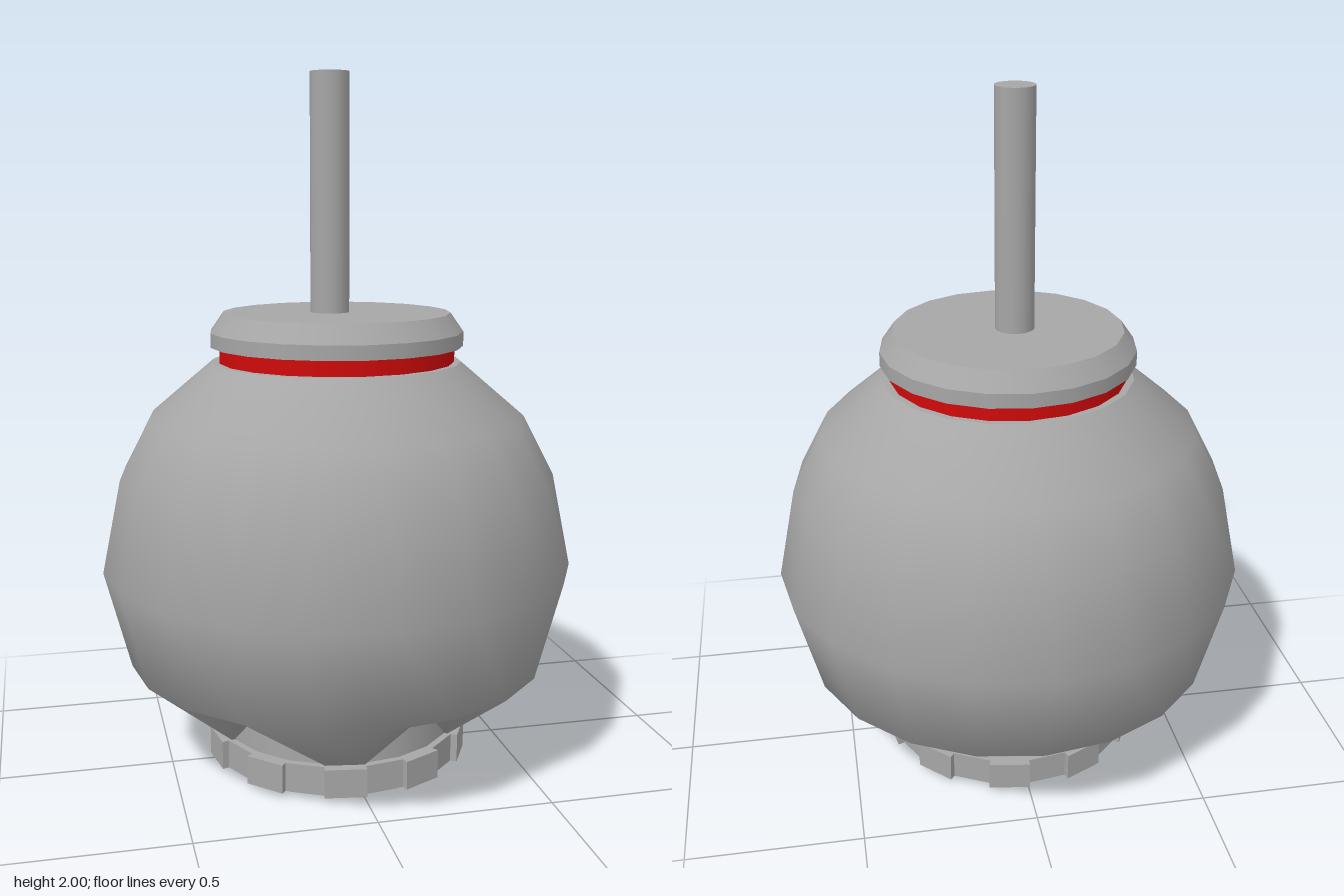
import * as THREE from 'three';
import { mergeVertices } from 'three/addons/utils/BufferGeometryUtils.js';

const SIDES = 20;

export function createModel() {
  const model = new THREE.Group();
  const grey = new THREE.MeshStandardMaterial({ name: 'grey metal', color: 0xa6a6a6, side: THREE.DoubleSide });
  const red = new THREE.MeshStandardMaterial({ name: 'red band', color: 0xd00a0a });

  function add(name, geometry, material, x = 0, y = 0, z = 0) {
    const mesh = new THREE.Mesh(geometry, material);
    mesh.name = name;
    mesh.position.set(x, y, z);
    model.add(mesh);
    return mesh;
  }

  function cylinder(name, rTop, rBottom, y0, y1, material, x = 0, z = 0, open = false) {
    const g = new THREE.CylinderGeometry(rTop, rBottom, y1 - y0, SIDES, 1, open);
    return add(name, g, material, x, (y0 + y1) / 2, z);
  }

  // Lathe whose rings in the list "raised" lift to a new radius and height
  // over the middle two of every four columns, leaving five notches.
  function notchedLathe(profile, raised) {
    const g = new THREE.LatheGeometry(profile.map(([r, y]) => new THREE.Vector2(r, y)), SIDES);
    const p = g.attributes.position;
    for (let i = 0; i <= SIDES; i++) {
      if (i % 4 !== 1 && i % 4 !== 2) continue;
      const a = i / SIDES * Math.PI * 2;
      raised.forEach(([r, y], j) => p.setXYZ(i * profile.length + j, r * Math.sin(a), y, r * Math.cos(a)));
    }
    g.deleteAttribute('uv');
    g.deleteAttribute('normal');
    const merged = mergeVertices(g, 1e-4);
    merged.computeVertexNormals();
    return merged;
  }

  // Round body with five notches around its foot
  add('body', notchedLathe(
    [[0.355, 0.1], [0.61, 0.31], [0.685, 0.595], [0.63, 0.865], [0.542, 1.035], [0.36, 1.19]],
    [[0.41, 0.22]]), grey);
  add('notchLip', notchedLathe([[0.34, 0.1], [0.355, 0.1]], [[0.34, 0.205], [0.41, 0.22]]), grey);
  cylinder('neck', 0.345, 0.345, 0.08, 0.26, grey, 0, 0, true);
  cylinder('bodyTop', 0.36, 0.36, 1.18, 1.19, grey);

  // Red band, bevelled cap and rod
  cylinder('band', 0.34, 0.34, 1.19, 1.236, red);
  cylinder('capRim', 0.365, 0.365, 1.236, 1.277, grey);
  cylinder('capBevel', 0.328, 0.365, 1.277, 1.33, grey);
  cylinder('rod', 0.056, 0.056, 1.33, 2, grey, -0.018, -0.005);

  // Base ring with alternating raised grips
  const outline = new THREE.Shape();
  for (let i = 0; i < SIDES; i++) {
    const r = i % 2 ? 0.385 : 0.365;
    for (const k of [i, i + 1]) {
      const a = k / SIDES * Math.PI * 2;
      const x = r * Math.sin(a), y = -r * Math.cos(a);
      if (i === 0 && k === 0) outline.moveTo(x, y);
      else outline.lineTo(x, y);
    }
  }
  outline.closePath();
  const ring = new THREE.ExtrudeGeometry(outline, { depth: 0.083, bevelEnabled: false });
  ring.rotateX(-Math.PI / 2);
  add('baseRing', ring, grey, 0, 0.017, 0);

  // Underside: thin lip, recessed plate and two radial bars
  const lip = new THREE.LatheGeometry(
    [[0.318, 0.017], [0.318, 0], [0.335, 0], [0.335, 0.017]].map(([r, y]) => new THREE.Vector2(r, y)), SIDES);
  add('bottomLip', lip.toNonIndexed(), grey).geometry.computeVertexNormals();
  cylinder('bottomPlate', 0.318, 0.318, 0.008, 0.018, grey);
  for (const side of [-1, 1]) {
    add('bottomBar', new THREE.BoxGeometry(0.2, 0.008, 0.02), grey, side * 0.19, 0.005, 0);
  }
  return model;
}
